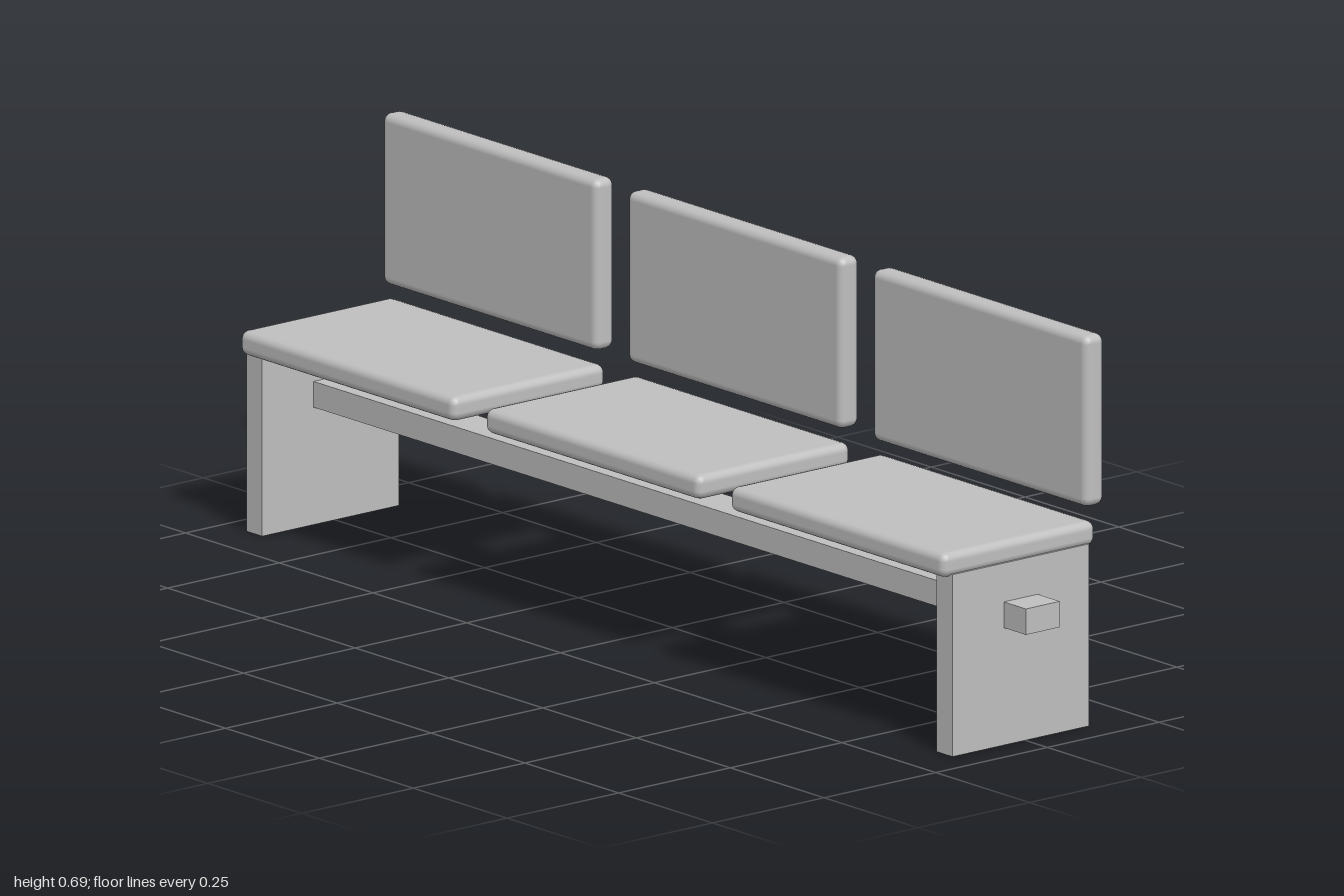
import * as THREE from 'three';
import { RoundedBoxGeometry } from 'three/addons/geometries/RoundedBoxGeometry.js';

export function createModel() {
  const model = new THREE.Group();
  model.name = 'bench';

  const grey = new THREE.MeshStandardMaterial({ color: 0xbfbfbf });
  grey.name = 'plain grey';

  // Adds a box given its extents on each axis; a radius rounds the edges
  function addBox(name, [x0, x1], [y0, y1], [z0, z1], radius = 0) {
    const size = [x1 - x0, y1 - y0, z1 - z0];
    const geometry = radius
      ? new RoundedBoxGeometry(...size, 2, radius)
      : new THREE.BoxGeometry(...size);
    const mesh = new THREE.Mesh(geometry, grey);
    mesh.name = name;
    mesh.position.set((x0 + x1) / 2, (y0 + y1) / 2, (z0 + z1) / 2);
    model.add(mesh);
  }

  // Long beam passing through both legs
  addBox('beam', [-1, 1], [0.209, 0.255], [-0.028, 0.048]);

  // Slab legs
  addBox('leftLeg', [0.899, 0.941], [0, 0.324], [-0.143, 0.163]);
  addBox('rightLeg', [-0.941, -0.899], [0, 0.324], [-0.143, 0.163]);

  // Three padded places, each a seat and a floating backrest
  ['right', 'middle', 'left'].forEach((side, i) => {
    const x = (i - 1) * 0.653;
    const span = [x - 0.287, x + 0.287];
    addBox(side + 'Seat', span, [0.318, 0.362], [-0.161, 0.182], 0.015);
    addBox(side + 'Backrest', span, [0.387, 0.692], [-0.181, -0.137], 0.015);
  });

  return model;
}
